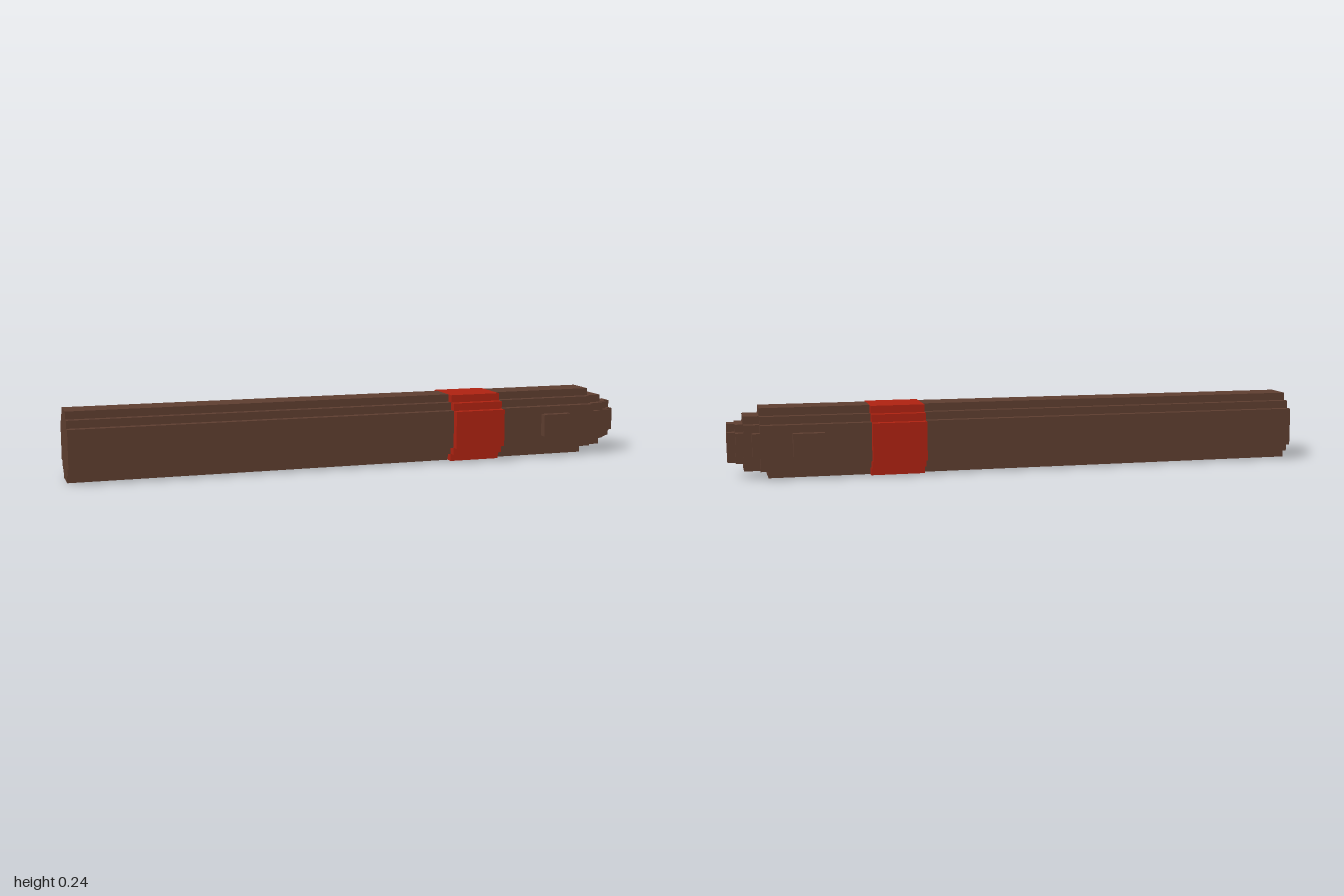
import * as THREE from 'three';

const U = 1 / 38; // one block

export function createModel() {
  const brown = new THREE.MeshStandardMaterial({ color: 0x5d3d2f });
  brown.name = 'darkBrown';
  const red = new THREE.MeshStandardMaterial({ color: 0xae2211 });
  red.name = 'red';

  const group = new THREE.Group();
  group.name = 'steppedRod';

  // Stepped prism along x: half-widths per block row, bottom to top (0 = empty row)
  function prism(name, x0, x1, halfWidths, material) {
    const right = [];
    halfWidths.forEach((w, row) => {
      if (w > 0) right.push([w, row], [w, row + 1]);
    });
    const left = right.map(([w, y]) => [-w, y]).reverse();
    const points = [...right, ...left].map(([w, y]) => new THREE.Vector2(w * U, y * U));
    const geometry = new THREE.ExtrudeGeometry(new THREE.Shape(points), {
      depth: (x1 - x0) * U, bevelEnabled: false,
    });
    geometry.rotateY(Math.PI / 2).translate(x0 * U, 0, 0);
    const mesh = new THREE.Mesh(geometry, material);
    mesh.name = name;
    group.add(mesh);
  }

  // Long shaft, raised band and collar
  const body = [2, 3, 4, 4, 4, 4, 4, 3, 2];
  prism('shaft', -38, 13, body, brown);
  prism('band', 13, 20, body.map((w) => w + 1), red);
  prism('collar', 20, 33, body, brown);

  // Rounded tip, one block-thick slice at a time
  [
    [0, 3, 4, 4, 4, 4, 4, 3, 2],
    [0, 2, 3, 4, 4, 4, 3, 2, 0],
    [0, 2, 3, 3, 3, 3, 3, 2, 0],
    [0, 0, 2, 3, 3, 3, 2, 0, 0],
    [0, 0, 1, 2, 2, 2, 1, 0, 0],
  ].forEach((rows, i) => prism('tipSlice' + (i + 1), 33 + i, 34 + i, rows, brown));

  // Side studs
  for (const side of [1, -1]) {
    const stud = new THREE.Mesh(new THREE.BoxGeometry(4 * U, 3 * U, U), brown);
    stud.position.set(28 * U, 4.5 * U, side * 4.5 * U);
    stud.name = side > 0 ? 'frontStud' : 'backStud';
    group.add(stud);
  }

  return group;
}
